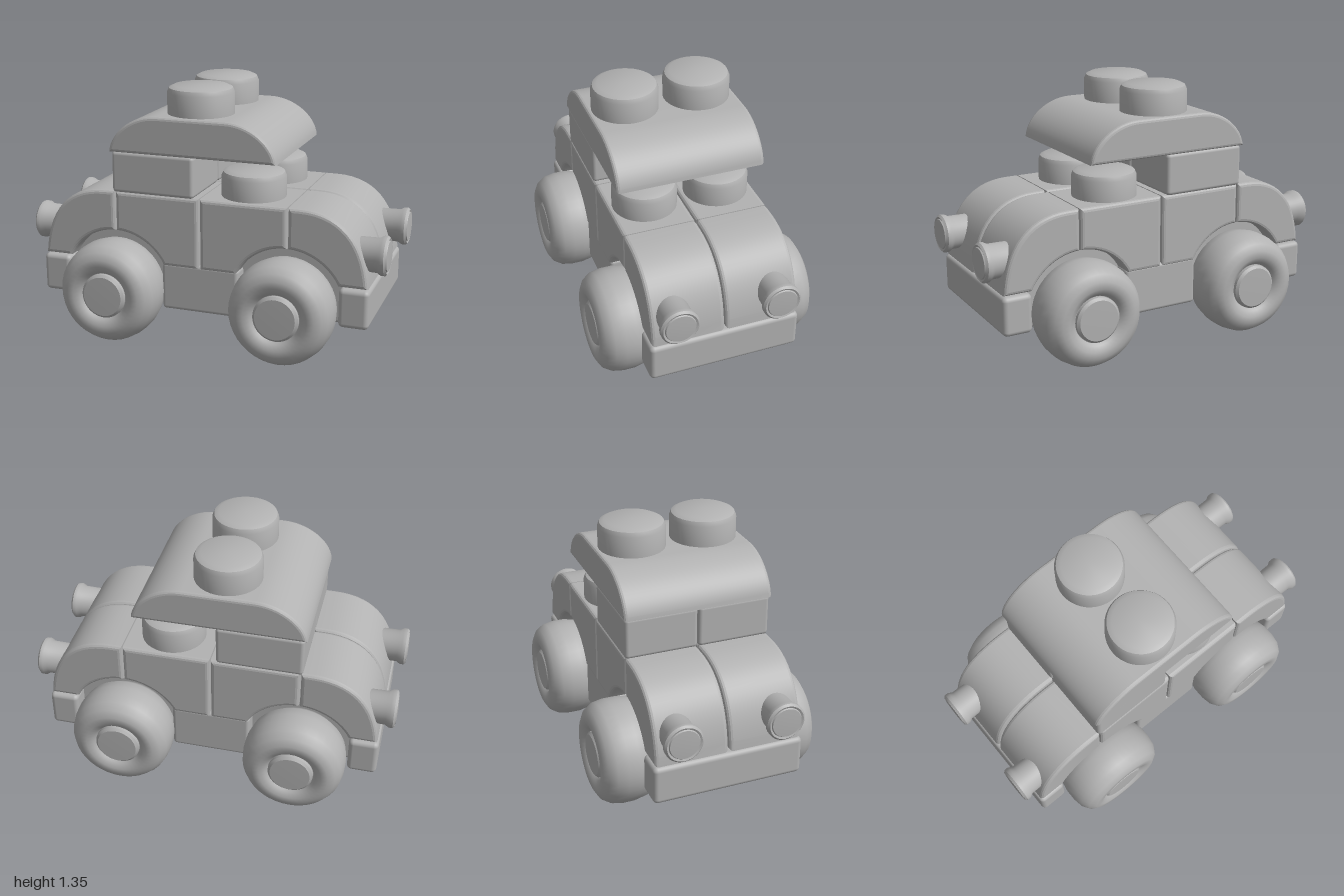
import * as THREE from 'three';
import { toCreasedNormals } from 'three/addons/utils/BufferGeometryUtils.js';
import { RoundedBoxGeometry } from 'three/addons/geometries/RoundedBoxGeometry.js';

const grey = new THREE.MeshStandardMaterial({ color: 0xb2b2b2 });
grey.name = 'toy grey';

export function createModel() {
  const model = new THREE.Group();
  model.name = 'blockCar';

  // The car is built along x, then turned on the ground
  const car = new THREE.Group();
  car.name = 'car';
  car.rotation.y = THREE.MathUtils.degToRad(30.3);
  car.position.set(-0.022, 0, -0.007);
  model.add(car);

  const add = (name, geometry, x = 0, y = 0, z = 0) => {
    const mesh = new THREE.Mesh(geometry, grey);
    mesh.name = name;
    mesh.position.set(x, y, z);
    car.add(mesh);
    return mesh;
  };

  // Box given by its limits along x and y, and its centre and width along z
  const box = (name, x0, x1, y0, y1, z, width, radius = 0.02) =>
    add(name, new RoundedBoxGeometry(x1 - x0, y1 - y0, width, 3, radius),
      (x0 + x1) / 2, (y0 + y1) / 2, z);

  // Side profile pulled across the car, with softened edges
  const slab = (name, shape, z, width, bevel = 0.02) => {
    const geometry = new THREE.ExtrudeGeometry(shape, {
      depth: width - 2 * bevel, bevelSize: bevel, bevelThickness: bevel,
      bevelOffset: -bevel, bevelSegments: 3, curveSegments: 14,
    });
    geometry.translate(0, 0, -width / 2 + bevel);
    return add(name, toCreasedNormals(geometry, 0.25), 0, 0, z);
  };

  const lathe = (points) => toCreasedNormals(
    new THREE.LatheGeometry(points.map(([r, y]) => new THREE.Vector2(r, y)), 40), 0.7);

  // Quarter of a wheel arch, traced from its foot to its top or back
  const wheelX = 0.467, archY = 0.275, archR = 0.3, floorY = 0.41;
  const foot = Math.asin((floorY - archY) / archR);
  const archPoint = (a) => [wheelX + archR * Math.cos(a), archY + archR * Math.sin(a)];
  const arch = (shape, end, from, to) => {
    for (let i = 0; i <= 12; i++) {
      const [x, y] = archPoint(from + (to - from) * i / 12);
      shape.lineTo(end * x, y);
    }
  };

  // Curved hood over the outer half of a wheel
  const hoodShape = (end) => {
    const s = new THREE.Shape();
    s.moveTo(end * 0.472, 0.79);
    s.lineTo(end * 0.53, 0.79);
    s.bezierCurveTo(end * 0.74, 0.79, end * 0.865, 0.66, end * 0.885, floorY);
    arch(s, end, foot, Math.PI / 2 - 0.015);
    s.closePath();
    return s;
  };

  // Cabin brick over the inner half of a wheel
  const brickShape = (end) => {
    const s = new THREE.Shape();
    s.moveTo(end * 0.003, floorY);
    s.lineTo(end * 0.003, 0.79);
    s.lineTo(end * 0.466, 0.79);
    arch(s, end, Math.PI / 2, Math.PI - foot);
    s.closePath();
    return s;
  };

  // Round stud with a soft top edge
  const studGeometry = (r, h) => lathe([
    [r, -0.02], [r, h - 0.035], [r - 0.01, h - 0.012], [r - 0.035, h], [0, h]]);

  // Tyre and hub, outer face towards +y
  const tyreGeometry = lathe([
    [0, -0.15], [0.17, -0.15], [0.225, -0.135], [0.258, -0.09], [0.27, -0.03],
    [0.27, 0.03], [0.26, 0.085], [0.235, 0.125], [0.2, 0.145], [0.165, 0.147],
    [0.135, 0.13], [0.12, 0.11], [0, 0.11]]);
  const hubGeometry = lathe([[0.118, 0.1], [0.118, 0.128], [0.105, 0.14], [0, 0.142]]);

  // Headlight, widening to a rim around a shallow lens, pointing to +y
  const lightGeometry = lathe([
    [0, -0.15], [0.085, -0.15], [0.088, 0.05], [0.1, 0.07], [0.1, 0.09],
    [0.09, 0.1], [0.08, 0.096], [0.076, 0.102], [0, 0.106]]);

  // Chassis: wide middle block and narrow plate between the wheels
  box('chassisMiddle', -0.21, 0.21, 0.172, 0.43, 0, 0.76);
  box('chassisPlate', -0.76, 0.76, 0.18, 0.6, 0, 0.58);

  for (const end of [-1, 1]) {
    const endName = end < 0 ? 'front' : 'rear';
    box(endName + 'Bumper', end * 0.8175 - 0.0775, end * 0.8175 + 0.0775, 0.2, 0.405, 0, 0.79, 0.025);

    for (const side of [-1, 1]) {
      slab(endName + 'Hood', hoodShape(end), side * 0.194, 0.384);
      slab(endName + 'CabinBrick', brickShape(end), side * 0.194, 0.384);

      const tyre = add(endName + 'Tyre', tyreGeometry, end * wheelX, 0.27, side * 0.431);
      const hub = add(endName + 'Hub', hubGeometry, end * wheelX, 0.27, side * 0.431);
      tyre.rotation.x = hub.rotation.x = side * Math.PI / 2;

      const light = add(endName + 'Light', lightGeometry, end * 0.861, 0.56, side * 0.265);
      light.rotation.z = -end * Math.PI / 2;
    }
  }

  // Upper cabin blocks and the studs on both levels
  for (const side of [-1, 1]) {
    box('upperBlock', -0.482, -0.03, 0.785, 1.005, side * 0.194, 0.384);
    add('lowerStud', studGeometry(0.168, 0.14), 0.235, 0.79, side * 0.195);
    add('roofStud', studGeometry(0.174, 0.147), -0.055, 1.198, side * 0.195);
  }

  // Roof with rounded ends
  const roof = new THREE.Shape();
  roof.moveTo(-0.495, 1.0);
  roof.lineTo(0.408, 1.0);
  roof.bezierCurveTo(0.4, 1.1, 0.28, 1.2, 0.14, 1.2);
  roof.lineTo(-0.227, 1.2);
  roof.bezierCurveTo(-0.367, 1.2, -0.487, 1.1, -0.495, 1.0);
  slab('roof', roof, 0, 0.785, 0.018);

  return model;
}
